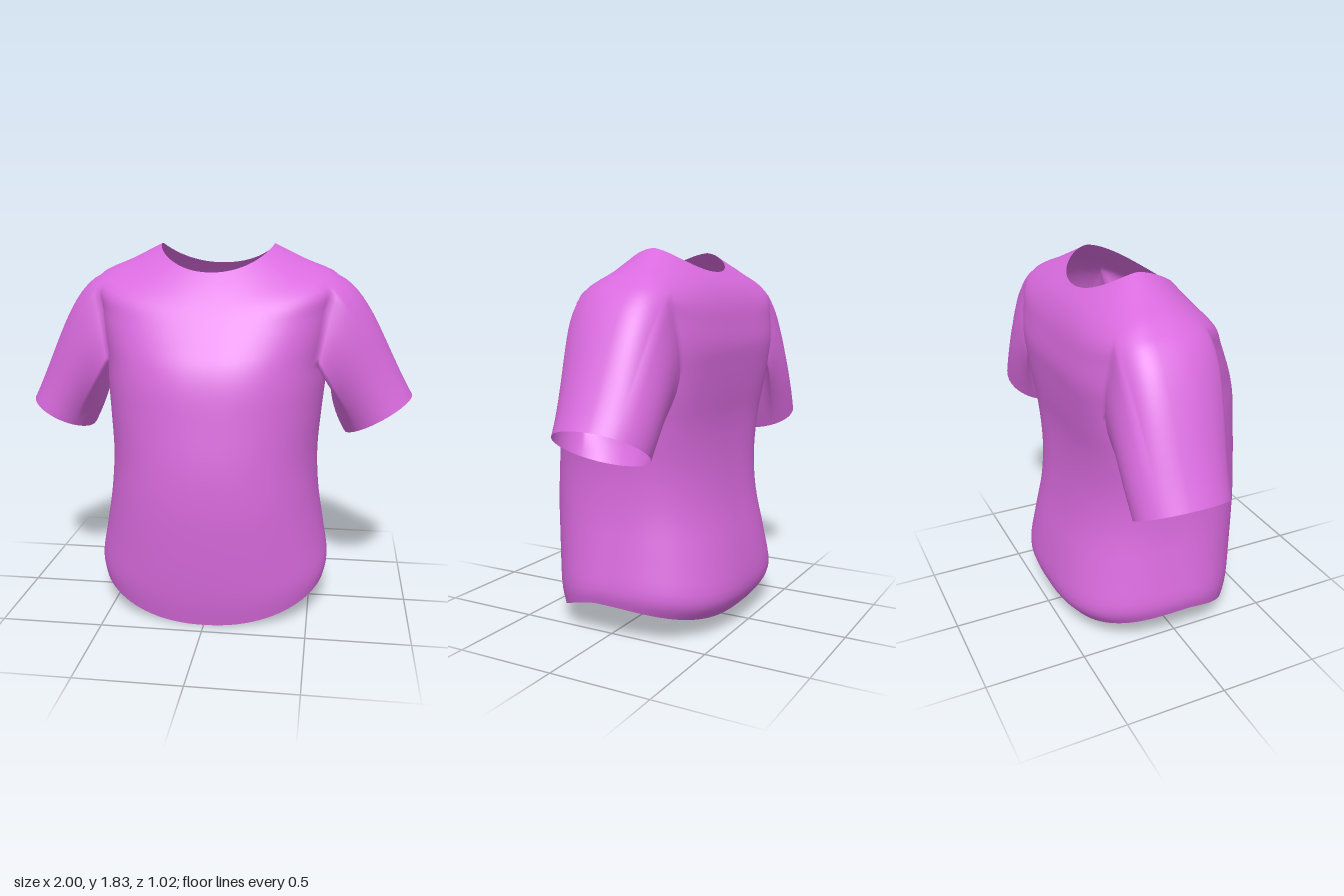
import * as THREE from 'three';

const COLS = 96, SUB = 4, SLEEVE_STEPS = 14;
const ARM_LOW = 7, ARM_TOP = 10;        // key rings bounding the armholes
const FRONT_COLS = 7, BACK_COLS = 10;   // armhole width in columns either side of the side seam

// Key rings, hem to neck:
// side x, side y, side z, front z, front y, back z, back y, front roundness, back roundness
const RINGS = [
  [0.575, 0.17, 0.04, 0.43, 0.00, -0.45, 0.08, 0.92, 0.72],
  [0.590, 0.25, 0.02, 0.46, 0.14, -0.51, 0.18, 0.92, 0.72],
  [0.565, 0.41, 0.00, 0.49, 0.36, -0.485, 0.37, 0.92, 0.75],
  [0.535, 0.60, -0.02, 0.51, 0.59, -0.435, 0.60, 0.9, 0.75],
  [0.525, 0.80, -0.05, 0.51, 0.80, -0.41, 0.80, 0.9, 0.7],
  [0.540, 1.00, -0.08, 0.49, 1.00, -0.405, 1.00, 0.88, 0.6],
  [0.555, 1.15, -0.12, 0.47, 1.16, -0.42, 1.16, 0.85, 0.55],
  [0.560, 1.27, -0.14, 0.44, 1.27, -0.43, 1.28, 0.82, 0.5],
  [0.580, 1.40, -0.14, 0.395, 1.36, -0.435, 1.38, 0.8, 0.48],
  [0.600, 1.54, -0.14, 0.345, 1.45, -0.42, 1.48, 0.8, 0.48],
  [0.610, 1.672, -0.14, 0.29, 1.54, -0.40, 1.57, 0.8, 0.52],
  [0.440, 1.755, -0.13, 0.23, 1.625, -0.36, 1.655, 0.9, 0.7],
  [0.285, 1.83, -0.11, 0.17, 1.70, -0.30, 1.725, 0.95, 0.95],
];

// Cuff centre and the half-vector toward its upper edge, per side
const CUFFS = {
  leftSleeve: { side: 1, x: 0.83, y: 0.97, ux: 0.17, uy: 0.10 },
  rightSleeve: { side: -1, x: 0.845, y: 0.94, ux: 0.155, uy: 0.08 },
};

// Smooth interpolation through the key rings
function ringAt(row) {
  const i = Math.min(Math.floor(row / SUB), RINGS.length - 2), t = row / SUB - i;
  const key = k => RINGS[Math.max(0, Math.min(RINGS.length - 1, k))];
  return RINGS[0].map((_, n) => {
    const a = key(i - 1)[n], b = key(i)[n], c = key(i + 1)[n], d = key(i + 2)[n];
    return b + 0.5 * t * (c - a + t * (2 * a - 5 * b + 4 * c - d + t * (3 * (b - c) + d - a)));
  });
}

function ringPoint(ring, col) {
  const [sx, sy, sz, fz, fy, bz, by, fp, bp] = ring;
  const angle = col / COLS * Math.PI * 2, c = Math.cos(angle), s = Math.sin(angle);
  const front = s >= 0, p = front ? fp : bp;
  const depth = Math.abs(s) ** p, drop = Math.abs(s) ** 1.5;
  return new THREE.Vector3(
    sx * Math.sign(c) * Math.abs(c) ** p,
    sy + ((front ? fy : by) - sy) * drop,
    sz + ((front ? fz : bz) - sz) * depth);
}

export function createModel() {
  const points = [], bodyIndex = [];
  const rows = (RINGS.length - 1) * SUB;
  const low = ARM_LOW * SUB, top = ARM_TOP * SUB;
  const id = (row, col) => row * COLS + (col + COLS) % COLS;

  // Body grid, leaving an armhole on each side
  for (let r = 0; r <= rows; r++) {
    const ring = ringAt(r);
    for (let c = 0; c < COLS; c++) points.push(ringPoint(ring, c));
  }
  const half = COLS / 2;
  const inArmhole = (r, c) => {
    if (r < low || r >= top) return false;
    const onLeft = c < FRONT_COLS || c >= COLS - BACK_COLS;
    return onLeft || (c >= half - FRONT_COLS && c < half + BACK_COLS);
  };
  for (let r = 0; r < rows; r++) for (let c = 0; c < COLS; c++) {
    if (inArmhole(r, c)) continue;
    const a = id(r, c), b = id(r, c + 1), d = id(r + 1, c), e = id(r + 1, c + 1);
    bodyIndex.push(a, d, b, b, d, e);
  }

  // Sleeve: curves running from the armhole edge to the cuff ellipse
  function buildSleeve({ side, x, y, ux, uy }) {
    const c0 = side > 0 ? -BACK_COLS : half - FRONT_COLS;
    const c1 = side > 0 ? FRONT_COLS : half + BACK_COLS;
    const loop = [], index = [];
    for (let c = c1; c > c0; c--) loop.push(id(top, c));
    for (let r = top; r > low; r--) loop.push(id(r, c0));
    for (let c = c0; c < c1; c++) loop.push(id(low, c));
    for (let r = low; r < top; r++) loop.push(id(r, c1));
    const axis = new THREE.Vector3(side * uy, -ux, 0).normalize();

    const curves = loop.map(i => {
      const p0 = points[i];
      const angle = Math.atan2((p0.z + 0.15) / 0.25, (p0.y - 1.46) / 0.2);
      const up = Math.cos(angle), w = (up + 1) / 2;
      const p3 = new THREE.Vector3(side * (x + ux * up), y + uy * up, -0.165 + 0.225 * Math.sin(angle));
      const p1 = p0.clone().add(new THREE.Vector3(
        side * (0.03 + 0.13 * w), -0.12 + 0.05 * w, 0.03 * Math.sin(angle)));
      const p2 = p3.clone().addScaledVector(axis, -(0.2 + 0.1 * w));
      p2.z += 0.02 * Math.sin(angle);
      return new THREE.CubicBezierCurve3(p0, p1, p2, p3);
    });

    const start = points.length, n = loop.length;
    for (let k = 1; k <= SLEEVE_STEPS; k++)
      for (const curve of curves) points.push(curve.getPoint(k / SLEEVE_STEPS));
    const sid = (k, i) => k === 0 ? loop[i % n] : start + (k - 1) * n + i % n;
    for (let k = 0; k < SLEEVE_STEPS; k++) for (let i = 0; i < n; i++) {
      const a = sid(k, i), b = sid(k, i + 1), d = sid(k + 1, i), e = sid(k + 1, i + 1);
      index.push(a, d, b, b, d, e);
    }
    return index;
  }

  const parts = { body: bodyIndex };
  for (const name in CUFFS) parts[name] = buildSleeve(CUFFS[name]);

  // Shared points and normals keep the armhole seams smooth
  const whole = new THREE.BufferGeometry().setFromPoints(points);
  whole.setIndex(Object.values(parts).flat());
  whole.computeVertexNormals();

  const fabric = new THREE.MeshStandardMaterial({ color: 0xda6bdf, side: THREE.DoubleSide });
  const shirt = new THREE.Group();
  shirt.name = 'shirt';
  for (const name in parts) {
    const geometry = new THREE.BufferGeometry();
    geometry.setAttribute('position', whole.getAttribute('position'));
    geometry.setAttribute('normal', whole.getAttribute('normal'));
    geometry.setIndex(parts[name]);
    const mesh = new THREE.Mesh(geometry, fabric);
    mesh.name = name;
    shirt.add(mesh);
  }
  return shirt;
}
